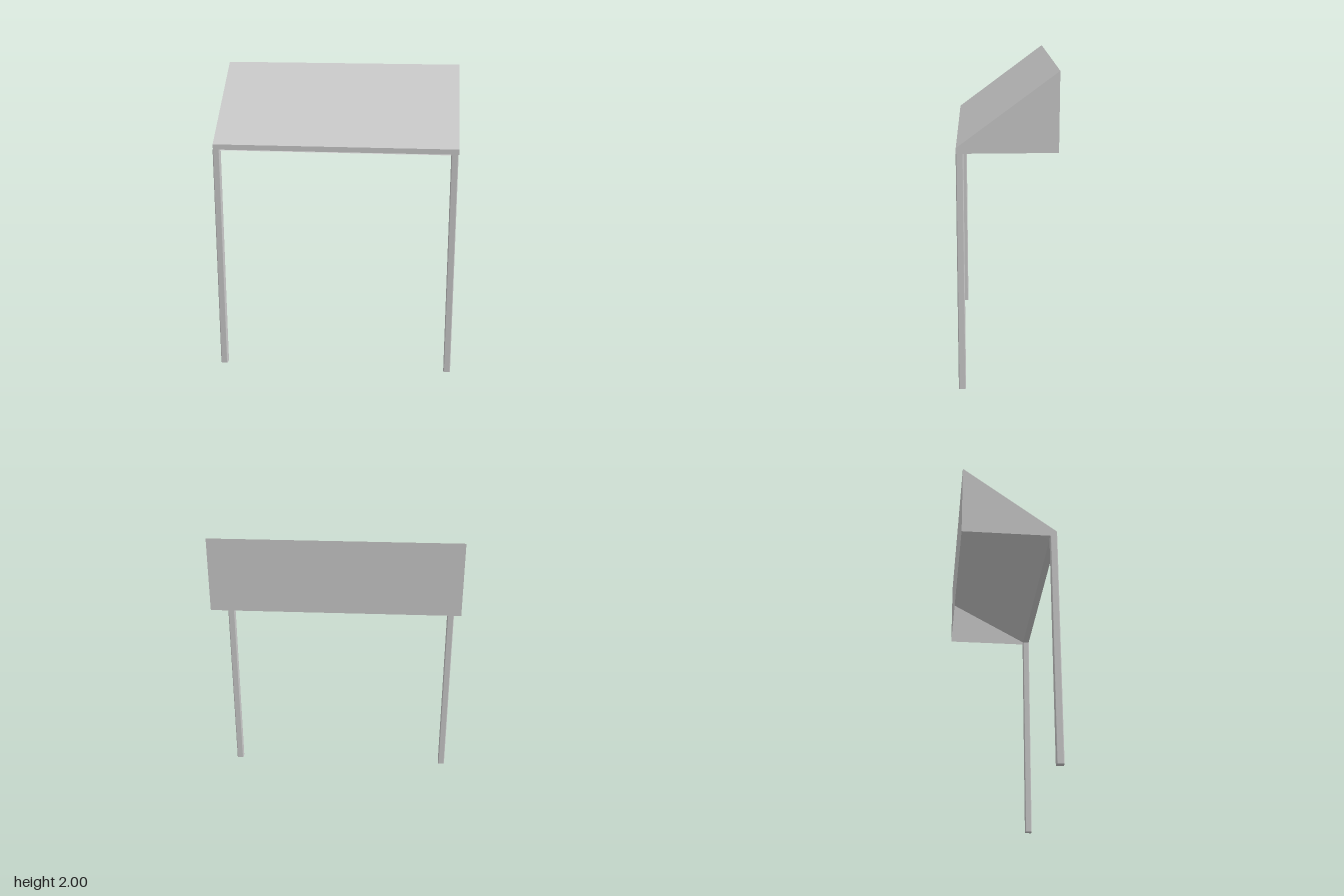
import * as THREE from 'three';

export function createModel() {
  const model = new THREE.Group();
  const solid = new THREE.MeshStandardMaterial({ color: 0xcccccc, flatShading: true });
  const sheet = new THREE.MeshStandardMaterial({ color: 0xcccccc, flatShading: true, side: THREE.DoubleSide });

  const add = (name, geometry, material) => {
    const mesh = new THREE.Mesh(geometry, material);
    mesh.name = name;
    model.add(mesh);
    return mesh;
  };

  const halfWidth = 0.791;

  // Canopy side profile as [z, y]
  const frontBottom = [0.304, 1.516];
  const frontTop = [0.304, 1.55];
  const ridge = [-0.304, 2];
  const backBottom = [-0.304, 1.518];

  // Sheet of the given width between two profile points
  const panel = (name, width, [z1, y1], [z2, y2]) => {
    const geometry = new THREE.PlaneGeometry(width, Math.hypot(z2 - z1, y2 - y1));
    geometry.rotateX(Math.atan2(z2 - z1, y2 - y1));
    add(name, geometry, sheet).position.set(0, (y1 + y2) / 2, (z1 + z2) / 2);
  };
  panel('frontFascia', 2 * halfWidth, frontBottom, frontTop);
  panel('slopedRoof', 2 * halfWidth, frontTop, ridge);
  panel('backPanel', 2 * halfWidth, ridge, backBottom);

  // Inner lining between the posts: a narrow front lip and a shallower ceiling
  const lipFront = [0.303, 1.511];
  const lipBack = [0.26, 1.511];
  panel('frontLip', 1.49, lipFront, lipBack);
  panel('innerCeiling', 1.49, lipBack, [-0.303, 1.825]);

  // Side panels; the underside stays open
  const profile = new THREE.Shape(
    [frontBottom, frontTop, ridge, backBottom].map(([z, y]) => new THREE.Vector2(z, y)));
  for (const side of [-1, 1]) {
    const geometry = new THREE.ShapeGeometry(profile).rotateY(-Math.PI / 2);
    add(side > 0 ? 'leftSidePanel' : 'rightSidePanel', geometry, sheet).position.x = side * halfWidth;
  }

  // Square posts with slightly rounded corners
  const h = 0.0228, r = 0.006;
  const section = new THREE.Shape();
  for (let i = 0; i < 4; i++) {
    const a = i * Math.PI / 2, q = Math.PI / 4;
    const d = (h - r) * Math.SQRT2;
    section.absarc(d * Math.cos(a + q), d * Math.sin(a + q), r, a, a + Math.PI / 2);
  }
  for (const [name, x] of [['rightPost', -0.771], ['leftPost', 0.765]]) {
    const geometry = new THREE.ExtrudeGeometry(section, { depth: 1.516, bevelEnabled: false, curveSegments: 3 });
    geometry.rotateX(-Math.PI / 2);
    add(name, geometry, solid).position.set(x, 0, 0.2825);
  }

  return model;
}
